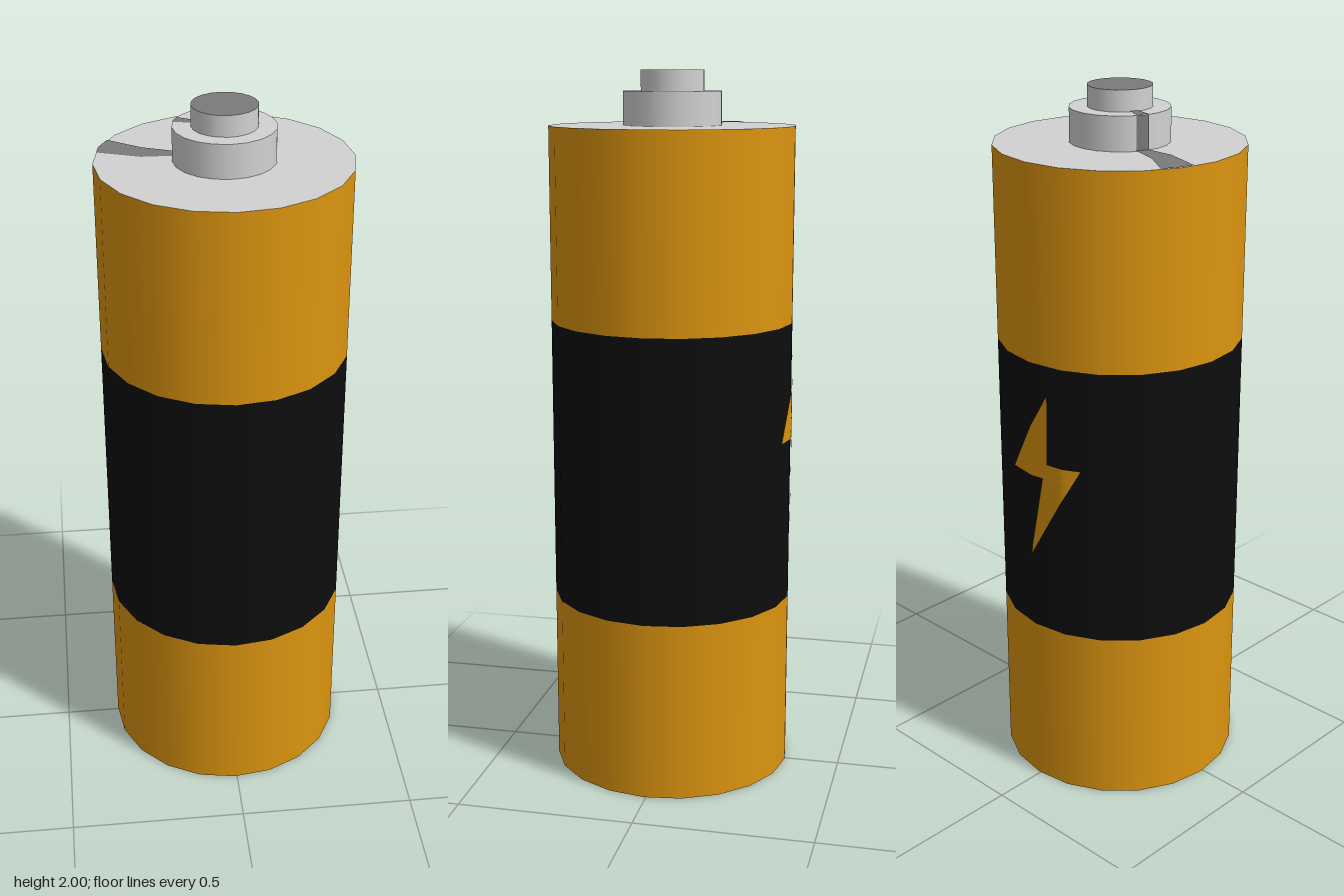
import * as THREE from 'three';

const SIDES = 20;
const R = 0.343;
const TURN = -Math.PI / 180; // slight turn of the body's facets
const rad = THREE.MathUtils.degToRad;

const material = (name, color) => {
  const m = new THREE.MeshStandardMaterial({ color });
  m.name = name;
  return m;
};

export function createModel() {
  const orange = material('orange', 0xdc9510);
  const black = material('black', 0x0d0d0d);
  const lightGrey = material('light grey', 0xd2d2d2);
  const darkGrey = material('dark grey', 0x7a7a7a);

  const group = new THREE.Group();
  group.name = 'battery';
  const add = (name, geometry, mat) => {
    const mesh = new THREE.Mesh(geometry, mat);
    mesh.name = name;
    group.add(mesh);
    return mesh;
  };

  // open wall between two heights
  const wall = (name, r, y0, y1, mat, turn = 0) => {
    const g = new THREE.CylinderGeometry(r, r, y1 - y0, SIDES, 1, true, turn);
    add(name, g.translate(0, (y0 + y1) / 2, 0), mat);
  };
  // flat disc facing up (1) or down (-1), corners aligned with the walls
  const disc = (name, r, y, mat, turn = 0, facing = 1) => {
    const g = new THREE.CircleGeometry(r, SIDES);
    g.rotateX(-facing * Math.PI / 2).rotateY(turn).translate(0, y, 0);
    add(name, g, mat);
  };

  // casing
  wall('lowerCasing', R, 0, 0.51, orange, TURN);
  wall('middleBand', R, 0.51, 1.31, black, TURN);
  wall('upperCasing', R, 1.31, 1.85, orange, TURN);
  disc('base', R, 0, darkGrey, TURN, -1);
  disc('lid', R, 1.85, lightGrey, TURN);

  // terminal
  wall('terminalCollar', 0.137, 1.85, 1.943, lightGrey);
  disc('collarTop', 0.137, 1.943, lightGrey);
  wall('terminalPost', 0.088, 1.943, 2, lightGrey);
  disc('postTop', 0.088, 2, darkGrey);

  // dark streak across the lid, up the collar and over its top, points as x, z
  const streak = (name, y, points) => {
    const shape = new THREE.Shape(points.map(([x, z]) => new THREE.Vector2(x, -z)));
    add(name, new THREE.ShapeGeometry(shape).rotateX(-Math.PI / 2).translate(0, y, 0), darkGrey);
  };
  streak('lidStreak', 1.852, [
    [-0.298, -0.165], [-0.21, -0.102], [-0.12, -0.065], [-0.134, -0.033],
    [-0.215, -0.035], [-0.33, -0.078], [-0.324, -0.115],
  ]);
  streak('collarTopStreak', 1.945, [
    [-0.12, -0.065], [-0.076, -0.042], [-0.085, -0.02], [-0.134, -0.033],
  ]);
  const collarStreak = new THREE.CylinderGeometry(0.139, 0.139, 0.093, 4, 1, true, rad(-118.4), rad(14.7));
  add('collarStreak', collarStreak.translate(0, 1.8965, 0), darkGrey);

  // lightning symbol on the back of the band: strips wrapped onto the facets
  // each strip: top y, bottom y, left angles top/bottom, right angles top/bottom
  const strips = [
    [1.227, 1.024, 8.7, -10.8, 8.7, 8],
    [1.024, 0.979, -10.8, -15, 25.6, 21.3],
    [0.979, 0.73, 5.5, -2.3, 21.3, -2.3],
  ];
  const step = 2 * Math.PI / SIDES;
  const lerp = THREE.MathUtils.lerp;
  for (const [y0, y1, l0, l1, r0, r1] of strips) {
    const g = new THREE.PlaneGeometry(1, 1, 16, 16);
    const p = g.attributes.position;
    for (let i = 0; i < p.count; i++) {
      const u = p.getX(i) + 0.5;
      const v = 0.5 - p.getY(i);
      const theta = Math.PI + rad(lerp(lerp(l0, l1, v), lerp(r0, r1, v), u));
      const local = THREE.MathUtils.euclideanModulo(theta - TURN, step) - step / 2;
      const r = R * Math.cos(step / 2) / Math.cos(local) + 0.003;
      p.setXYZ(i, r * Math.sin(theta), lerp(y0, y1, v), r * Math.cos(theta));
    }
    g.computeVertexNormals();
    add('lightningSymbol', g, orange);
  }

  return group;
}
